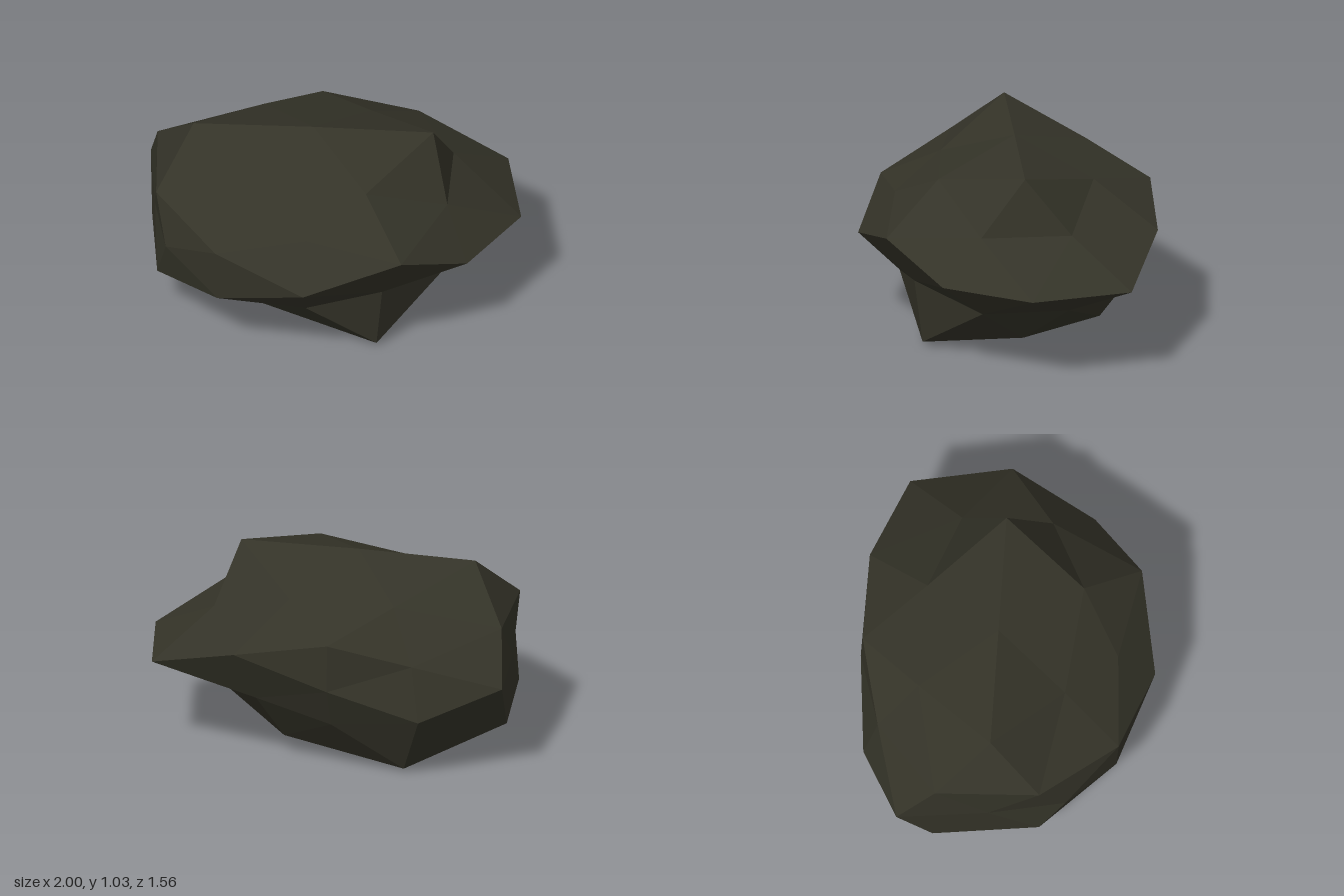
import * as THREE from 'three';

// Radial scale of each point of a once-divided icosahedron, grouped by
// direction (absolute x,y,z in tenths). Entries run over the signs of the
// non-zero axes, x changing fastest, plus before minus.
const RADII = {
  '10,0,0': [0.957, 0.73],
  '0,10,0': [0.905, 0.879],
  '0,0,10': [0.83, 0.73],
  '5,9,0': [1.05, 1.05, 0.86, 0.945],
  '0,5,9': [0.745, 0.717, 0.846, 0.74],
  '9,0,5': [0.864, 0.772, 1.017, 0.915],
  '3,8,5': [0.865, 0.74, 1.04, 0.75, 0.79, 0.81, 0.85, 1.04],
  '5,3,8': [0.896, 0.826, 0.70, 0.81, 0.885, 0.755, 0.725, 0.845],
  '8,5,3': [0.78, 0.876, 0.745, 0.87, 0.78, 0.908, 0.735, 0.94],
};

function radiusAt(v) {
  const tenths = v.toArray().map((c) => Math.round(c * 10));
  const key = tenths.map((t) => Math.abs(t)).join(',');
  let index = 0, bit = 1;
  for (const t of tenths) {
    if (t === 0) continue;
    if (t < 0) index += bit;
    bit *= 2;
  }
  return RADII[key][index];
}

export function createModel() {
  const group = new THREE.Group();
  group.name = 'rock';

  const stone = new THREE.MeshStandardMaterial({ color: 0x343328, flatShading: true });
  stone.name = 'dark stone';

  // Boulder: flattened faceted ball with every corner pushed in or out
  const geometry = new THREE.IcosahedronGeometry(1, 1);
  const pos = geometry.attributes.position;
  const proportions = new THREE.Vector3(1.15, 0.58, 1);
  const centre = new THREE.Vector3(-0.105, 0.51, -0.05);
  const v = new THREE.Vector3();
  for (let i = 0; i < pos.count; i++) {
    v.fromBufferAttribute(pos, i);
    v.multiplyScalar(radiusAt(v)).multiply(proportions).add(centre);
    pos.setXYZ(i, v.x, v.y, v.z);
  }
  geometry.computeVertexNormals();

  const boulder = new THREE.Mesh(geometry, stone);
  boulder.name = 'boulder';
  group.add(boulder);
  return group;
}
